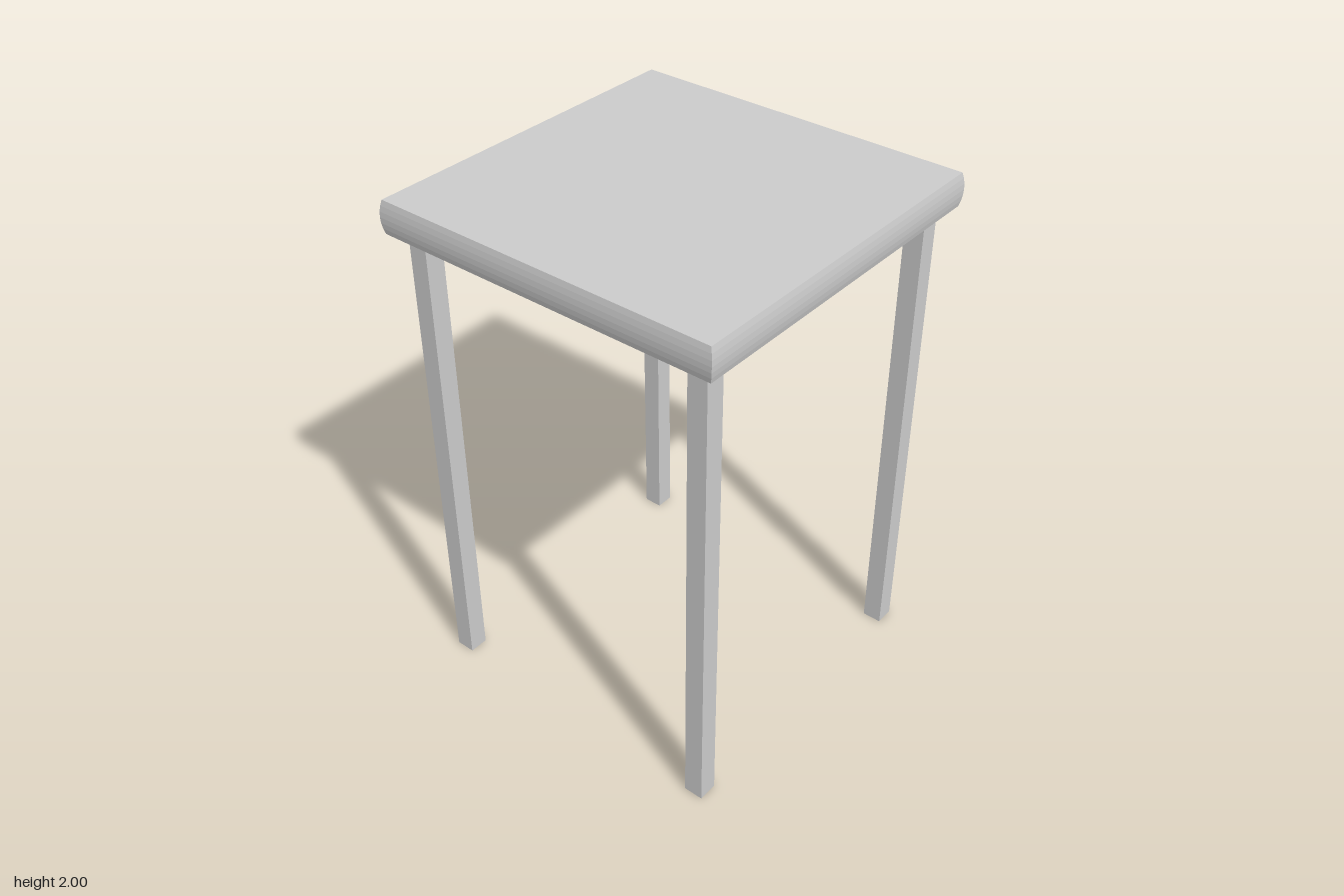
import * as THREE from 'three';

const TOP = 2, UNDER = 1.875, HALF = 0.684, BULGE = 0.009;
const LEG = 0.075, LEG_POS = 0.587;

export function createModel() {
  const group = new THREE.Group();
  group.name = 'stool';
  const material = new THREE.MeshStandardMaterial({ color: 0xcccccc, flatShading: true });

  // Seat slab whose four edges bulge slightly outwards at mid height
  const thick = TOP - UNDER;
  const seatGeo = new THREE.BoxGeometry(2 * HALF, thick, 2 * HALF, 1, 6, 1);
  const pos = seatGeo.attributes.position;
  for (let i = 0; i < pos.count; i++) {
    const t = pos.getY(i) / (thick / 2);
    const half = HALF - BULGE * t * t;
    pos.setX(i, Math.sign(pos.getX(i)) * half);
    pos.setZ(i, Math.sign(pos.getZ(i)) * half);
  }
  seatGeo.computeVertexNormals();
  const seat = new THREE.Mesh(seatGeo, material);
  seat.name = 'seat';
  seat.position.y = (TOP + UNDER) / 2;
  group.add(seat);

  // Four square legs
  const legGeo = new THREE.BoxGeometry(LEG, UNDER, LEG);
  for (const [x, side] of [[1, 'Left'], [-1, 'Right']]) {
    for (const [z, end] of [[1, 'front'], [-1, 'back']]) {
      const leg = new THREE.Mesh(legGeo, material);
      leg.name = `${end}${side}Leg`;
      leg.position.set(x * LEG_POS, UNDER / 2, z * LEG_POS);
      group.add(leg);
    }
  }
  return group;
}
